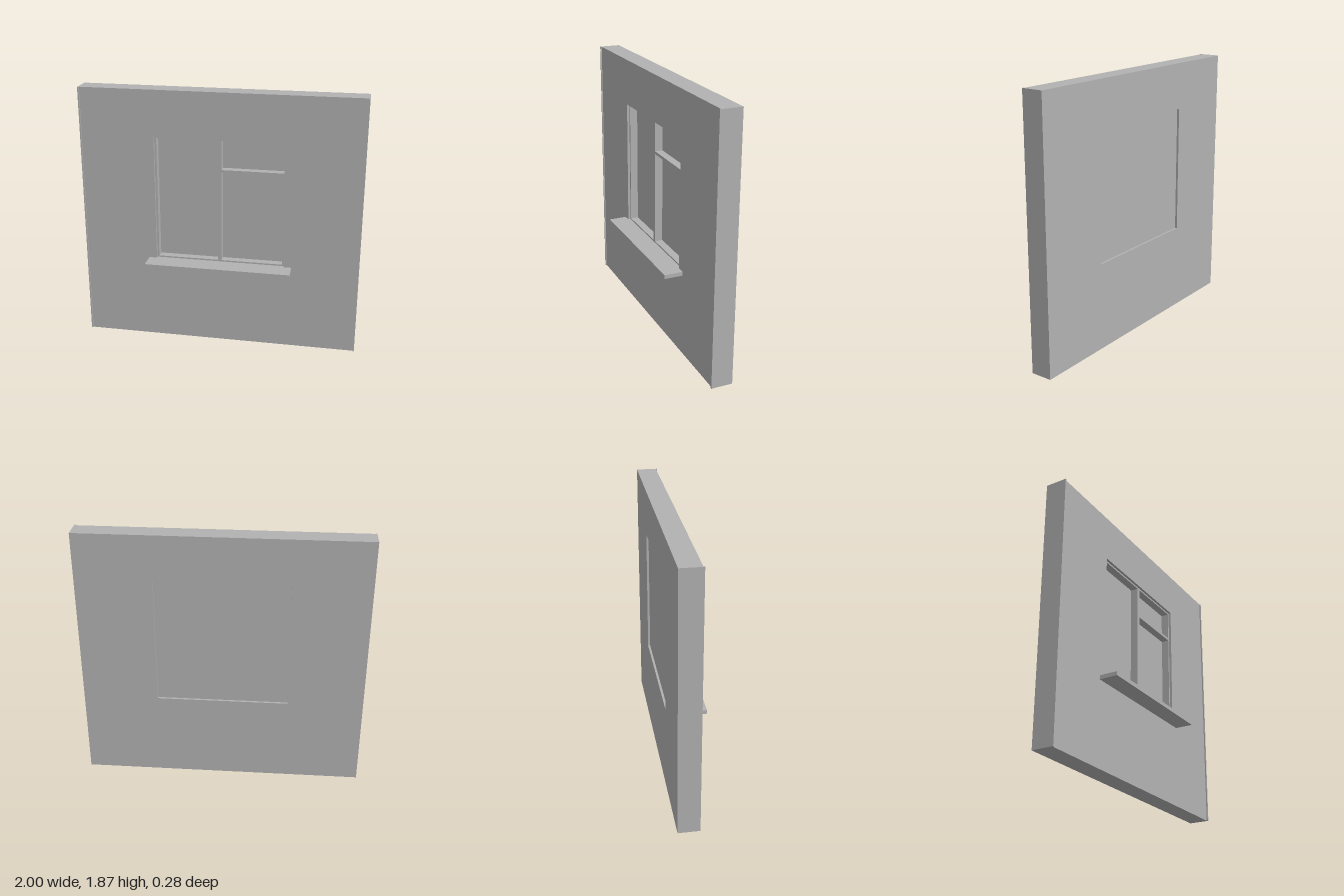
import * as THREE from 'three';

const plaster = new THREE.MeshStandardMaterial({ color: 0xb2b2b2 });
plaster.name = 'plain grey';

// Closed rectangle from corner coordinates, as a shape or as a hole
function rect(Type, x0, x1, y0, y1) {
  return new Type([[x0, y0], [x1, y0], [x1, y1], [x0, y1]].map(p => new THREE.Vector2(...p)));
}

// Rectangular slab with rectangular openings, running from z0 (back) to z1 (front)
function slab(name, outline, holes, z0, z1) {
  const shape = rect(THREE.Shape, ...outline);
  holes.forEach(h => shape.holes.push(rect(THREE.Path, ...h)));
  const geometry = new THREE.ExtrudeGeometry(shape, { depth: z1 - z0, bevelEnabled: false });
  geometry.translate(0, 0, z0);
  const mesh = new THREE.Mesh(geometry, plaster);
  mesh.name = name;
  return mesh;
}

export function createModel() {
  const model = new THREE.Group();
  model.name = 'wallWithWindow';

  const height = 1.87;
  const wallBack = -0.138, wallFront = 0.006;
  const opening = [-0.467, 0.465, 0.625, 1.54];

  // Wall with the window opening
  model.add(slab('wall', [-1, 1, 0, height], [opening], wallBack, wallFront));

  // Narrow raised strips along both side edges
  for (const side of [-1, 1]) {
    const edges = [side, side * 0.99].sort((a, b) => a - b);
    model.add(slab(side > 0 ? 'leftEdgeStrip' : 'rightEdgeStrip',
      [...edges, 0, height], [], wallFront, 0.015));
  }

  // Window: frame with one tall light, one lower light and one top light
  const windowGroup = new THREE.Group();
  windowGroup.name = 'window';
  const paneFront = -0.068;
  windowGroup.add(slab('windowFrame', opening, [
    [-0.453, -0.014, 0.636, 1.528],
    [0.012, 0.453, 0.636, 1.3],
    [0.012, 0.453, 1.32, 1.528],
  ], paneFront, -0.012));
  windowGroup.add(slab('windowPane', opening, [], -0.122, paneFront));
  model.add(windowGroup);

  // Projecting sill under the window
  model.add(slab('windowSill', [-0.523, 0.521, 0.597, 0.625], [], wallFront, 0.138));

  return model;
}
